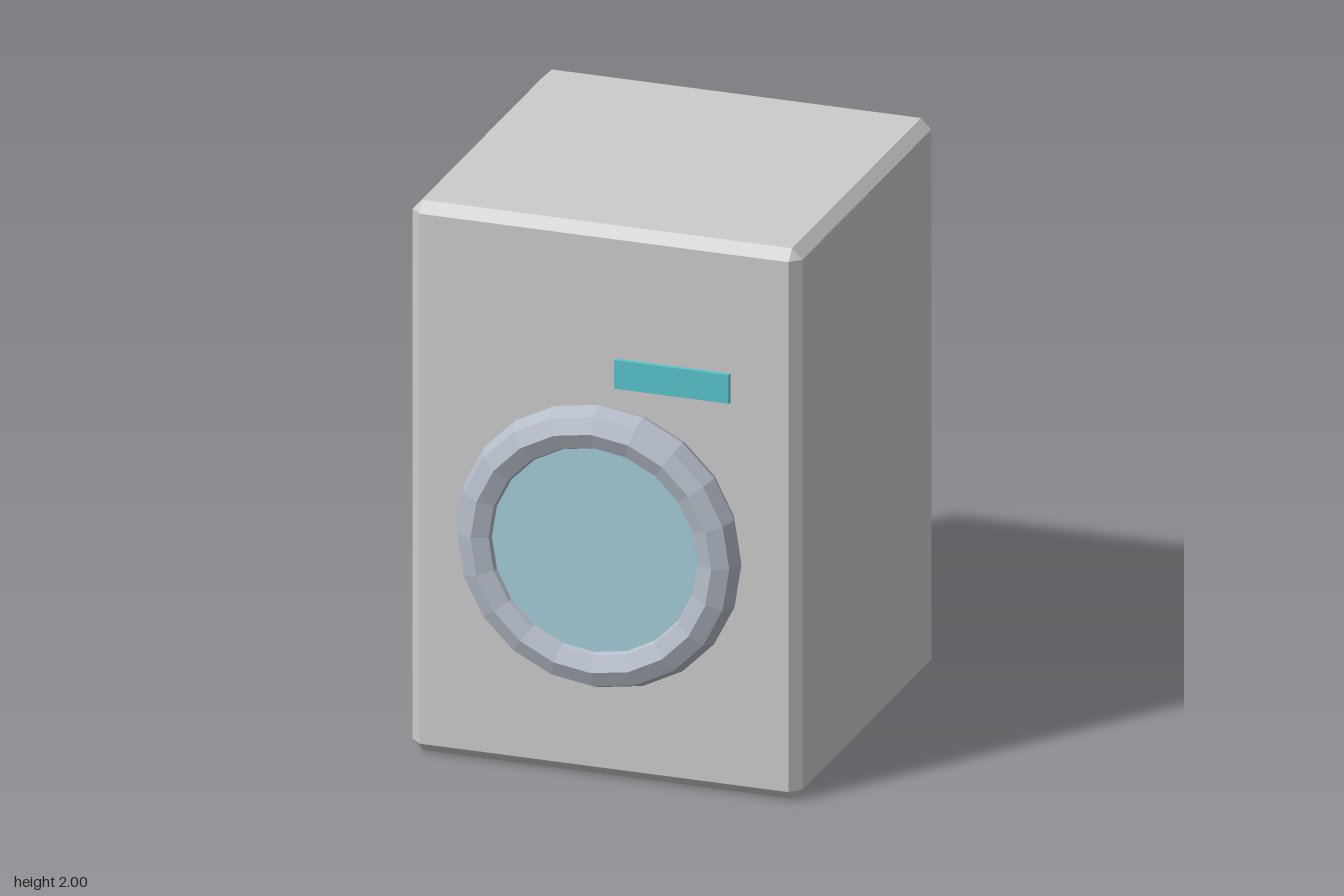
import * as THREE from 'three';
import { ConvexGeometry } from 'three/addons/geometries/ConvexGeometry.js';

const material = (color) => new THREE.MeshStandardMaterial({ color, flatShading: true });

// Box with flat chamfered edges and triangular corners
function chamferedBox(w, h, d, c) {
  const points = [];
  for (const x of [-1, 1]) for (const y of [-1, 1]) for (const z of [-1, 1]) {
    for (let axis = 0; axis < 3; axis++) {
      const inset = [c, c, c];
      inset[axis] = 0;
      points.push(new THREE.Vector3(
        x * (w / 2 - inset[0]), y * (h / 2 - inset[1]), z * (d / 2 - inset[2])));
    }
  }
  return new ConvexGeometry(points);
}

export function createModel() {
  const model = new THREE.Group();
  model.name = 'washingMachine';

  function add(name, geometry, color, x, y, z) {
    const mesh = new THREE.Mesh(geometry, material(color));
    mesh.name = name;
    mesh.position.set(x, y, z);
    model.add(mesh);
    return mesh;
  }

  // Cabinet
  add('cabinet', chamferedBox(1.402, 2, 1.36, 0.037), 0xcccccc, 0, 1, -0.065);

  // Round door: faceted ring and flat glass set into it
  add('doorRing', new THREE.TorusGeometry(0.433, 0.08, 8, 20), 0xb4bcc8, 0, 0.862, 0.665);
  const glass = new THREE.CylinderGeometry(0.372, 0.372, 0.06, 20);
  glass.rotateX(Math.PI / 2);
  add('doorGlass', glass, 0xa4ccd8, 0, 0.862, 0.676);

  // Display strip, held just in front of the cabinet
  add('displayPanel', new THREE.BoxGeometry(0.412, 0.104, 0.016), 0x58c4cc, 0.265, 1.497, 0.667);

  return model;
}
